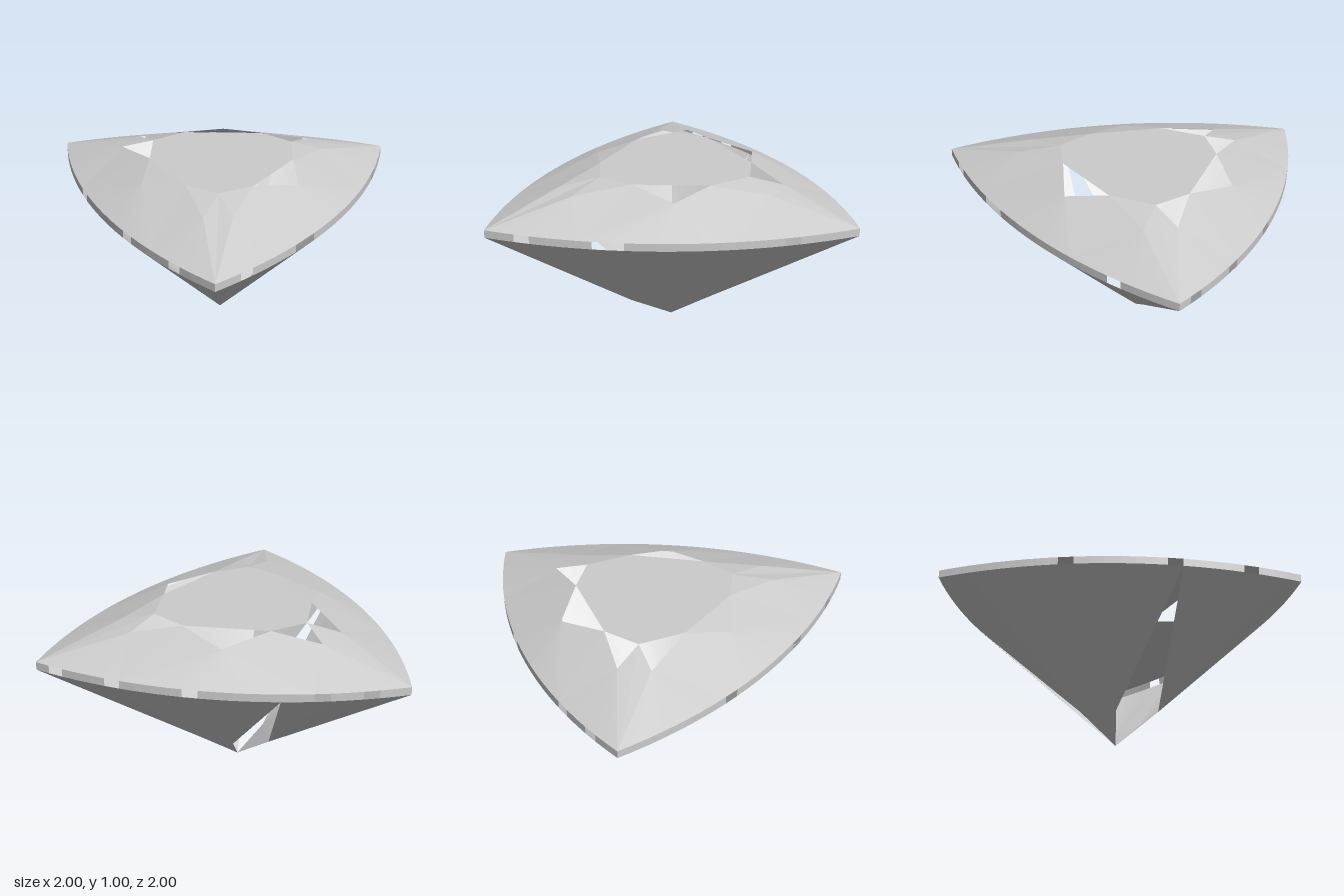
import * as THREE from 'three';

const SEG = 24;                       // girdle panels per curved side
const LOW = 0.785, HIGH = 0.83, TABLE = 1, STAR = 0.955;
const CENTRE = new THREE.Vector3(0, 0.72, -0.2);

// Circular arc between two plan points, bulging away from the centre
function arc(a, b, sagitta) {
  const dx = b[0] - a[0], dz = b[1] - a[1], len = Math.hypot(dx, dz), h = len / 2;
  const nx = dz / len, nz = -dx / len;
  const r = (h * h + sagitta * sagitta) / (2 * sagitta), half = Math.asin(h / r);
  const pts = [];
  for (let i = 0; i < SEG; i++) {
    const th = -half + (2 * half * i) / SEG;
    const along = 0.5 + (r * Math.sin(th)) / len;
    const out = r * Math.cos(th) - (r - sagitta);
    pts.push([a[0] + dx * along + nx * out, a[1] + dz * along + nz * out]);
  }
  return pts;
}

// Flat-shaded mesh from triangles, every one turned to face outward
function facets(name, tris, material) {
  const pos = [], n = new THREE.Vector3(), t = new THREE.Triangle();
  for (const [a, b, c] of tris) {
    t.set(a, b, c).getNormal(n);
    const out = n.dot(a.clone().add(b).add(c).divideScalar(3).sub(CENTRE)) >= 0;
    for (const p of out ? [a, b, c] : [a, c, b]) pos.push(p.x, p.y, p.z);
  }
  const g = new THREE.BufferGeometry();
  g.setAttribute('position', new THREE.Float32BufferAttribute(pos, 3));
  g.computeVertexNormals();
  const mesh = new THREE.Mesh(g, material);
  mesh.name = name;
  return mesh;
}

export function createModel() {
  const gem = new THREE.Group();
  gem.name = 'gem';
  const grey = new THREE.MeshStandardMaterial({ color: 0xcccccc, side: THREE.DoubleSide, flatShading: true });
  grey.name = 'pale grey';

  // Three-sided outline: back, +x side, -x side
  const outline = [
    ...arc([-1, -0.8], [1, -0.8], 0.2),
    ...arc([1, -0.8], [0, 1], 0.19),
    ...arc([0, 1], [-1, -0.8], 0.19),
  ];
  const N = outline.length;
  const at = (y) => ([x, z]) => new THREE.Vector3(x, y, z);
  const lower = outline.map(at(LOW)), upper = outline.map(at(HIGH));

  // Fan of facets from one point to a stretch of the girdle
  const fan = (tip, ring, from, to) => {
    const tris = [];
    if (to <= from) to += N;
    for (let i = from; i < to; i++) tris.push([tip, ring[i % N], ring[(i + 1) % N]]);
    return tris;
  };

  // Girdle band with open panels
  const openPanels = new Set([2, 5, 13, 18, 22, 28, 39, 40, 45, 51, 56, 63]);
  const band = [];
  for (let i = 0; i < N; i++) {
    if (openPanels.has(i)) continue;
    const j = (i + 1) % N;
    band.push([lower[i], lower[j], upper[j]], [lower[i], upper[j], upper[i]]);
  }
  gem.add(facets('girdle', band, grey));

  // Crown: table corner, its girdle point, the star tip after it, star open or not
  const crownPlan = [
    [[-0.42, -0.46], 0, [-0.52, -0.62], true],
    [[-0.24, -0.59], 6, [0, -0.76], true],
    [[0.24, -0.59], 18, [0.52, -0.62], true],
    [[0.42, -0.46], 24, [0.61, -0.46], false],
    [[0.42, -0.19], 32, [0.45, 0.06], true],
    [[0.19, 0.18], 42, [0.08, 0.5], false],
    [[0, 0.28], 48, [-0.08, 0.5], false],
    [[-0.19, 0.18], 54, [-0.45, 0.06], false],
    [[-0.42, -0.19], 64, [-0.61, -0.46], true],
  ];
  const corners = crownPlan.map((c) => at(TABLE)(c[0]));
  const stars = crownPlan.map((c) => at(STAR)(c[2]));
  const K = crownPlan.length, middle = new THREE.Vector3(0, TABLE, -0.2);
  const table = [], starFacets = [], crown = [];
  for (let i = 0; i < K; i++) {
    const j = (i + 1) % K, prev = stars[(i + K - 1) % K], g = crownPlan[i][1];
    table.push([middle, corners[i], corners[j]]);
    if (!crownPlan[i][3]) starFacets.push([corners[i], corners[j], stars[i]]);
    crown.push([corners[i], prev, upper[g]], [corners[i], upper[g], stars[i]]);
    crown.push(...fan(stars[i], upper, g, crownPlan[j][1]));
  }
  gem.add(facets('table', table, grey));
  gem.add(facets('starFacets', starFacets, grey));
  gem.add(facets('crown', crown, grey));

  // Pavilion: low ridge point, girdle point of the main facet after it, facet open or not
  const pavilionPlan = [
    [[-0.2, -0.32], 8, true],
    [[0, -0.37], 16, false],
    [[0.2, -0.32], 30, false],
    [[0.14, -0.12], 40, false],
    [[0, 0.08], 56, true],
    [[-0.14, -0.12], 66, false],
  ];
  const apex = new THREE.Vector3(0, 0, -0.2);
  const ridge = pavilionPlan.map((p) => at(0.16)(p[0]));
  const M = ridge.length, pavilion = [];
  for (let i = 0; i < M; i++) {
    const j = (i + 1) % M, [, g, open] = pavilionPlan[i];
    if (!open) pavilion.push([apex, ridge[i], ridge[j]], [ridge[i], lower[g], ridge[j]]);
    pavilion.push(...fan(ridge[j], lower, g, pavilionPlan[j][1]));
  }
  gem.add(facets('pavilion', pavilion, grey));
  return gem;
}
